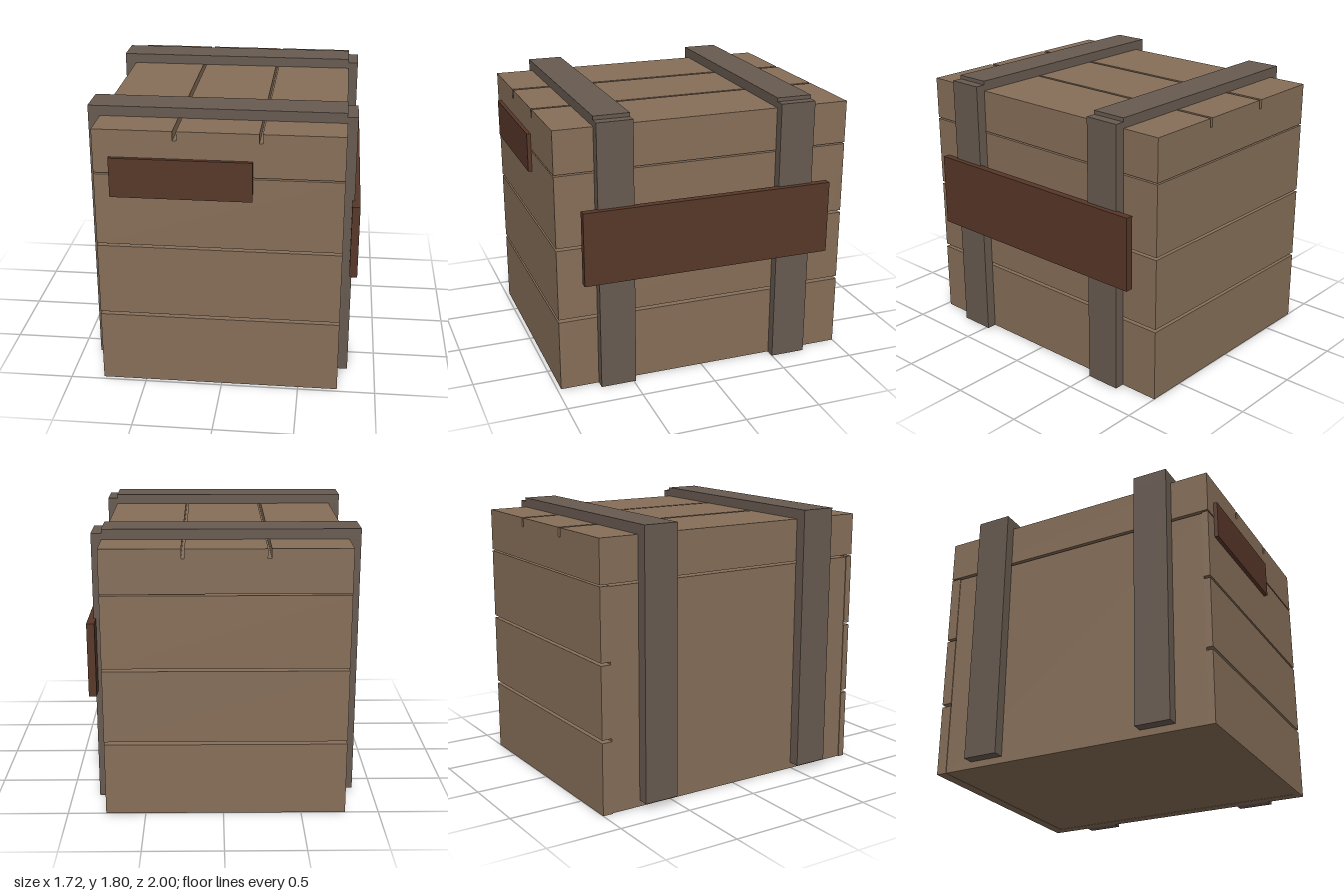
import * as THREE from 'three';

const wood = new THREE.MeshStandardMaterial({ color: 0x866e58, flatShading: true });
const strapWood = new THREE.MeshStandardMaterial({ color: 0x675a50, flatShading: true });
const signWood = new THREE.MeshStandardMaterial({ color: 0x573628, flatShading: true });

// Box given by its [min, max] extent on each axis
function slab(parent, name, material, x, y, z) {
  const mesh = new THREE.Mesh(
    new THREE.BoxGeometry(x[1] - x[0], y[1] - y[0], z[1] - z[0]), material);
  mesh.position.set((x[0] + x[1]) / 2, (y[0] + y[1]) / 2, (z[0] + z[1]) / 2);
  mesh.name = name;
  parent.add(mesh);
  return mesh;
}

export function createModel() {
  const crate = new THREE.Group();
  crate.name = 'crate';
  const back = -1, front = 0.975, left = -0.785, right = 0.755;

  // Inner box, seen in the seams and as the plain -x wall
  slab(crate, 'innerBox', wood, [left + 0.005, 0.68], [0.002, 1.445], [-0.93, 0.93]);

  // Three rows of planks around front, back and +x side
  for (const y of [[0, 0.475], [0.495, 0.965], [0.982, 1.45]]) {
    const row = new THREE.Group();
    row.name = 'plankRow';
    slab(row, 'frontPlank', wood, [left, right], y, [0.93, front]);
    slab(row, 'backPlank', wood, [left, right], y, [back, -0.93]);
    slab(row, 'sidePlank', wood, [0.68, right], y, [-0.93, 0.93]);
    crate.add(row);
  }

  // Lid with two grooves running front to back
  const profile = new THREE.Shape();
  profile.moveTo(left, 1.46);
  profile.lineTo(right, 1.46);
  profile.lineTo(right, 1.74);
  for (const [a, b] of [[0.255, 0.235], [-0.267, -0.29]]) {
    profile.lineTo(a, 1.74);
    profile.lineTo(a, 1.68);
    profile.lineTo(b, 1.68);
    profile.lineTo(b, 1.74);
  }
  profile.lineTo(left, 1.74);
  profile.closePath();
  const lid = new THREE.Mesh(
    new THREE.ExtrudeGeometry(profile, { depth: front - back, bevelEnabled: false }), wood);
  lid.position.z = back;
  lid.name = 'lid';
  crate.add(lid);

  // Two strap frames: -x post, top bar and slightly lower +x post
  for (const z of [[0.485, 0.72], [-0.735, -0.5]]) {
    const strap = new THREE.Group();
    strap.name = 'strap';
    slab(strap, 'leftPost', strapWood, [-0.86, left], [0.045, 1.74], z);
    slab(strap, 'topBar', strapWood, [-0.86, right], [1.74, 1.805], z);
    slab(strap, 'rightPost', strapWood, [right, 0.82], [0, 1.78], z);
    crate.add(strap);
  }

  // Blank sign boards
  slab(crate, 'sideBoard', signWood, [0.805, 0.855], [0.745, 1.23], [-0.85, 0.825]);
  slab(crate, 'frontBoard', signWood, [-0.685, 0.197], [1.31, 1.565], [0.97, 1]);

  return crate;
}
